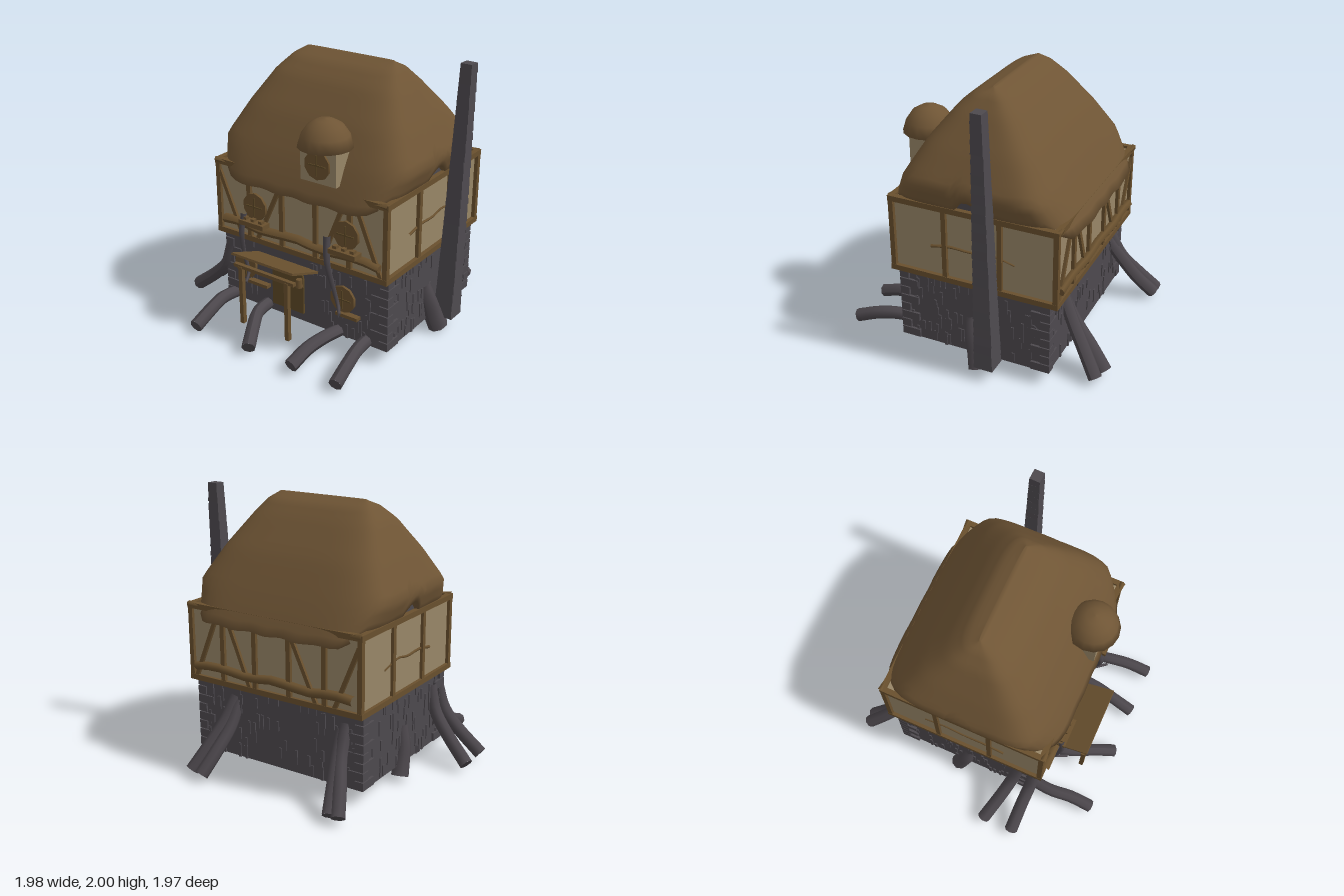
import * as THREE from 'three';

const material = (name, color, side = THREE.FrontSide, flatShading = false) => {
  const m = new THREE.MeshStandardMaterial({ color, side, flatShading });
  m.name = name;
  return m;
};
const V = (x, y, z) => new THREE.Vector3(x, y, z);

export function createModel() {
  const house = new THREE.Group();
  house.name = 'cottage';
  const thatch = material('thatch', 0x6f5535, THREE.DoubleSide);
  const wood = material('wood', 0x69502e);
  const doorWood = material('doorWood', 0x5c4826);
  const plaster = material('plaster', 0x988667);
  const stone = material('stone', 0x4d494e);
  const bark = material('bark', 0x4b464b);

  let seed = 7;
  const rnd = () => (seed = (seed * 16807) % 2147483647) / 2147483647;

  const add = (name, geo, mat, x = 0, y = 0, z = 0) => {
    const m = new THREE.Mesh(geo, mat);
    m.name = name;
    m.position.set(x, y, z);
    house.add(m);
    return m;
  };
  // Box given by its lower and upper bounds
  const box = (name, mat, x0, x1, y0, y1, z0, z1) =>
    add(name, new THREE.BoxGeometry(x1 - x0, y1 - y0, z1 - z0), mat, (x0 + x1) / 2, (y0 + y1) / 2, (z0 + z1) / 2);
  // Square timber between two points
  const beam = (name, a, b, w, mat = wood) => {
    const d = b.clone().sub(a);
    const m = add(name, new THREE.BoxGeometry(w, d.length(), w), mat);
    m.position.copy(a).lerp(b, 0.5);
    m.quaternion.setFromUnitVectors(V(0, 1, 0), d.normalize());
    return m;
  };
  // Tapering round tube with closed ends
  const limb = (name, pts, r0, r1, mat = bark, sides = 8) => {
    const curve = new THREE.CatmullRomCurve3(pts.map((p) => V(...p)));
    const n = 12;
    const geo = new THREE.TubeGeometry(curve, n, 1, sides, false);
    const pos = geo.attributes.position;
    for (let i = 0; i <= n; i++) {
      const c = curve.getPointAt(i / n), r = r0 + ((r1 - r0) * i) / n;
      for (let j = 0; j <= sides; j++) {
        const k = i * (sides + 1) + j;
        const p = V(0, 0, 0).fromBufferAttribute(pos, k).sub(c).multiplyScalar(r).add(c);
        pos.setXYZ(k, p.x, p.y, p.z);
      }
    }
    geo.computeVertexNormals();
    add(name, geo, mat);
    const cap = add(name + 'End', new THREE.CircleGeometry(r1, sides), mat);
    cap.position.copy(curve.getPointAt(1));
    cap.quaternion.setFromUnitVectors(V(0, 0, 1), curve.getTangentAt(1));
  };

  // Stone ground floor with raised stones and corner blocks
  box('stoneWalls', stone, -0.6, 0.79, 0.1, 0.66, -0.63, 0.485);
  const stones = (count, place) => {
    for (let i = 0; i < count; i++) place(rnd(), 0.15 + 0.066 * (i % 8), 0.035 + rnd() * 0.02);
  };
  for (const z of [0.485, -0.63]) stones(56, (u, y, h) => {
    const x = -0.55 + u * 1.27;
    if (z < 0 || x < -0.24 || x > 0.16) box('wallStone', stone, x, x + 0.02, y - h, y + h, z - 0.008, z + 0.008);
  });
  for (const x of [-0.6, 0.79]) stones(56, (u, y, h) => {
    const z = -0.57 + u * 0.98;
    box('wallStone', stone, x - 0.008, x + 0.008, y - h, y + h, z, z + 0.02);
  });
  for (let i = 0; i < 8; i++) for (const x of [-0.6, 0.79]) for (const z of [-0.63, 0.485]) {
    const y = 0.105 + i * 0.068, a = i % 2 ? 0.14 : 0.07, b = i % 2 ? 0.07 : 0.14;
    const sx = Math.sign(x), sz = Math.sign(z);
    add('cornerStone', new THREE.BoxGeometry(a, 0.06, b), stone, x + sx * (0.018 - a / 2), y + 0.034, z + sz * (0.012 - b / 2));
  }

  // Plastered upper floor with timber frame
  box('upperWalls', plaster, -0.615, 0.795, 0.65, 1.2, -0.675, 0.525);
  box('atticCore', stone, -0.6, 0.79, 1.15, 1.3, -0.26, 0.1);
  for (const y of [0.665, 1.2]) {
    for (const z of [-0.68, 0.53]) box('wallPlate', wood, -0.64, 0.825, y - 0.02, y + 0.02, z - 0.02, z + 0.02);
    for (const x of [-0.62, 0.805]) box('wallPlate', wood, x - 0.02, x + 0.02, y - 0.02, y + 0.02, -0.7, 0.55);
  }
  const braces = [[-0.61, -0.42], [-0.06, -0.27], [0.47, 0.29], [0.58, 0.77]];
  for (const z of [-0.68, 0.53]) {
    for (const x of [-0.62, -0.34, -0.05, 0.24, 0.52, 0.805]) beam('frontPost', V(x, 0.65, z), V(x, 1.21, z), 0.036);
    for (const [top, foot] of braces) beam('diagonalBrace', V(top, 1.13, z), V(foot, 0.68, z), 0.03);
    const path = [];
    for (let i = 0; i < 9; i++) path.push([-0.57 + i * 0.167, 0.765 + 0.012 * Math.sin(i * 2.1), z + Math.sign(z) * 0.015]);
    limb('wavyRail', path, 0.034, 0.03, wood, 6);
  }
  for (const x of [-0.62, 0.805]) {
    for (const z of [-0.68, -0.28, 0.13, 0.53]) beam('sidePost', V(x, 0.65, z), V(x, 1.21, z), 0.034);
    const wx = x < 0 ? -0.617 : 0.797;
    limb('sideBranch', [[wx, 0.89, 0.24], [wx, 0.915, 0.1], [wx, 0.91, -0.08], [wx, 0.93, -0.2], [wx, 0.89, -0.38]], 0.012, 0.006, wood, 6);
    // Pointed eave ends at the corners
    for (const z of [-0.68, 0.53]) {
      const s = Math.sign(x);
      limb('eaveTip', [[x + s * 0.015, 1.21, z + Math.sign(z) * 0.012], [x - s * 0.07, 1.205, z + Math.sign(z) * 0.01], [x - s * 0.15, 1.19, z]], 0.022, 0.004, wood, 5);
    }
  }

  // Thatched roof: rings of a soft rectangle, listed as y, left, right, front, back
  const rings = [
    [1.1, -0.58, 0.78, 0.61, -0.76], [1.22, -0.635, 0.82, 0.565, -0.7], [1.37, -0.68, 0.87, 0.495, -0.615],
    [1.6, -0.56, 0.745, 0.36, -0.47], [1.82, -0.43, 0.6, 0.19, -0.29], [1.92, -0.34, 0.52, 0.07, -0.19],
    [1.965, -0.27, 0.45, -0.06, -0.085],
  ];
  const ringAt = (y) => {
    let i = 0;
    while (i < rings.length - 2 && rings[i + 1][0] < y) i++;
    const t = THREE.MathUtils.clamp((y - rings[i][0]) / (rings[i + 1][0] - rings[i][0]), 0, 1);
    return rings[i].map((v, k) => v + (rings[i + 1][k] - v) * t);
  };
  const seg = 96, levels = 22, verts = [], faces = [];
  for (let j = -1; j <= levels; j++) for (let i = 0; i < seg; i++) {
    const a = (i / seg) * Math.PI * 2, c = Math.cos(a), s = Math.sin(a), t = Math.max(j, 0) / levels;
    const n = 7 - 3.5 * t;
    const f = (Math.abs(c) ** n + Math.abs(s) ** n) ** (-1 / n);
    const px = c * f, pz = s * f;
    const w = THREE.MathUtils.smoothstep(Math.abs(pz), 0.82, 0.98);
    const eave = 1.2 - 0.09 * w + 0.1 * Math.max(0, 1 - (pz / 0.2) ** 2) + 0.006 * Math.sin(a * 17);
    const y = eave + (1.965 - eave) * Math.sin((t * Math.PI) / 2);
    const [, l, r, zf, zb] = ringAt(y);
    const k = j < 0 ? 0.92 : 1;
    verts.push((l + r) / 2 + (px * k * (r - l)) / 2, y, (zf + zb) / 2 + (pz * k * (zf - zb)) / 2);
    if (j < levels) {
      const p = (j + 1) * seg + i, q = (j + 1) * seg + ((i + 1) % seg);
      faces.push(p, p + seg, q, q, p + seg, q + seg);
    }
  }
  verts.push(0.09, 1.967, -0.07);
  for (let i = 0; i < seg; i++) faces.push((levels + 1) * seg + i, (levels + 2) * seg, (levels + 1) * seg + ((i + 1) % seg));
  const roof = new THREE.BufferGeometry();
  roof.setAttribute('position', new THREE.Float32BufferAttribute(verts, 3));
  roof.setIndex(faces);
  roof.computeVertexNormals();
  add('thatchedRoof', roof, thatch);

  // Round window with cross bars
  const roundWindow = (name, x, y, z) => {
    const disc = add(name, new THREE.CylinderGeometry(0.102, 0.102, 0.02, 10), wood, x, y, z);
    disc.rotation.x = Math.PI / 2;
    box(name + 'BarUpright', doorWood, x - 0.005, x + 0.005, y - 0.07, y + 0.07, z + 0.01, z + 0.016);
    box(name + 'BarAcross', doorWood, x - 0.07, x + 0.07, y - 0.005, y + 0.005, z + 0.01, z + 0.016);
  };
  roundWindow('lowerWindow', -0.43, 0.4, 0.495);
  roundWindow('lowerWindow', 0.44, 0.4, 0.495);
  box('lowerSill', wood, -0.39, -0.21, 0.28, 0.305, 0.48, 0.53);
  box('lowerSill', wood, 0.4, 0.58, 0.28, 0.305, 0.48, 0.53);
  for (const x of [-0.27, 0.51]) {
    roundWindow('upperWindow', x, 0.935, 0.56);
    box('windowSill', wood, x - 0.11, x + 0.11, 0.795, 0.83, 0.54, 0.62);
    for (const dx of [-0.07, 0, 0.07]) box('sillBlock', wood, x + dx - 0.015, x + dx + 0.015, 0.83, 0.85, 0.565, 0.6);
  }

  // Dormer with domed cap
  box('dormer', plaster, 0.155, 0.445, 1.26, 1.52, 0.28, 0.585);
  roundWindow('dormerWindow', 0.3, 1.39, 0.59);
  const cap = [[0, 0.19], [0.06, 0.18], [0.12, 0.145], [0.165, 0.08], [0.19, 0], [0.13, 0.005], [0, 0.01]];
  add('dormerCap', new THREE.LatheGeometry(cap.map((p) => new THREE.Vector2(...p)).reverse(), 16), thatch, 0.3, 1.5, 0.5);

  // Arched door
  const arch = new THREE.Shape();
  arch.moveTo(-0.14, 0);
  arch.lineTo(0.14, 0);
  arch.lineTo(0.14, 0.27);
  arch.quadraticCurveTo(0.13, 0.36, 0.06, 0.36);
  arch.lineTo(-0.06, 0.36);
  arch.quadraticCurveTo(-0.13, 0.36, -0.14, 0.27);
  add('door', new THREE.ExtrudeGeometry(arch, { depth: 0.02, bevelEnabled: false }), doorWood, -0.04, 0.165, 0.48);
  add('doorKnob', new THREE.SphereGeometry(0.012, 8, 6), wood, 0.04, 0.38, 0.507);

  // Porch
  const porch = add('porchRoof', new THREE.BoxGeometry(0.54, 0.016, 0.31), wood, -0.045, 0.59, 0.635);
  porch.rotation.x = -0.36;
  for (const x of [-0.25, 0.155]) box('porchPost', wood, x - 0.016, x + 0.016, 0.1, 0.55, 0.735, 0.768);
  box('porchCrossbar', wood, -0.31, 0.22, 0.54, 0.565, 0.735, 0.765);
  add('lantern', new THREE.CylinderGeometry(0.022, 0.026, 0.06, 8), wood, 0.22, 0.545, 0.7);

  // Leaning chimney of stacked stones
  for (let i = 0; i < 28; i++) {
    const t = i / 27, w = 0.148 - 0.06 * t, d = 0.142 - 0.06 * t;
    const m = add('chimneyStone', new THREE.CylinderGeometry(0.66, 0.707, 1, 4, 1).rotateY(Math.PI / 4), stone,
      0.875 + 0.065 * t, 0.134 + 0.0678 * i, -0.212);
    m.geometry.scale(w, 0.0678, d);
    m.material = stone;
    m.rotation.y = (rnd() - 0.5) * 0.06;
    m.geometry = m.geometry.toNonIndexed();
    m.geometry.computeVertexNormals();
  }

  // Roots
  const roots = [
    [[-0.54, 0.13, 0.42], [-0.56, 0.14, 0.62], [-0.54, 0.12, 0.78], [-0.535, 0.06, 0.95]],
    [[-0.25, 0.13, 0.42], [-0.2, 0.15, 0.65], [-0.12, 0.13, 0.8], [-0.04, 0.065, 0.95]],
    [[0.4, 0.12, 0.42], [0.38, 0.14, 0.62], [0.35, 0.12, 0.78], [0.33, 0.06, 0.95]],
    [[0.62, 0.12, 0.42], [0.65, 0.14, 0.62], [0.68, 0.12, 0.78], [0.7, 0.06, 0.95]],
    [[-0.58, 0.55, 0.36], [-0.64, 0.37, 0.33], [-0.76, 0.23, 0.29], [-0.96, 0.06, 0.22]],
    [[-0.58, 0.53, 0.47], [-0.64, 0.35, 0.47], [-0.76, 0.22, 0.46], [-0.96, 0.06, 0.455]],
    [[-0.46, 0.55, -0.6], [-0.48, 0.36, -0.7], [-0.55, 0.2, -0.82], [-0.62, 0.05, -0.95]],
    [[-0.43, 0.5, -0.6], [-0.46, 0.33, -0.72], [-0.5, 0.18, -0.83], [-0.55, 0.05, -0.95]],
    [[0.46, 0.52, -0.6], [0.47, 0.34, -0.7], [0.5, 0.19, -0.83], [0.54, 0.05, -0.95]],
    [[0.48, 0.55, -0.6], [0.52, 0.38, -0.69], [0.58, 0.22, -0.8], [0.65, 0.05, -0.92]],
  ];
  for (const r of roots) limb('root', r, 0.045, 0.05);
  limb('rightStumpRoot', [[0.76, 0.38, -0.04], [0.8, 0.24, -0.07], [0.82, 0.13, -0.1], [0.85, 0.03, -0.13]], 0.05, 0.075);
  limb('leftStumpRoot', [[-0.57, 0.38, -0.06], [-0.6, 0.24, -0.08], [-0.61, 0.13, -0.11], [-0.62, 0.03, -0.15]], 0.05, 0.065);

  // Climbing vines
  limb('vine', [[-0.36, 0.87, 0.58], [-0.37, 0.72, 0.6], [-0.385, 0.52, 0.56], [-0.36, 0.39, 0.55], [-0.31, 0.355, 0.64]], 0.022, 0.01);
  limb('vine', [[0.36, 0.89, 0.57], [0.38, 0.72, 0.6], [0.4, 0.52, 0.56], [0.44, 0.37, 0.55], [0.51, 0.37, 0.64]], 0.026, 0.01);

  // Wooden wheel under the floor
  const wheel = add('floorWheel', new THREE.TorusGeometry(0.075, 0.014, 6, 16), wood, 0.1, 0.092, -0.08);
  wheel.rotation.x = Math.PI / 2;
  for (let i = 0; i < 6; i++) {
    const a = (i * Math.PI) / 3, c = Math.cos(a), s = Math.sin(a);
    beam('wheelSpoke', V(0.1 + 0.07 * c, 0.092, -0.08 + 0.07 * s), V(0.1 + 0.14 * c, 0.092, -0.08 + 0.14 * s), 0.016);
  }
  return house;
}
